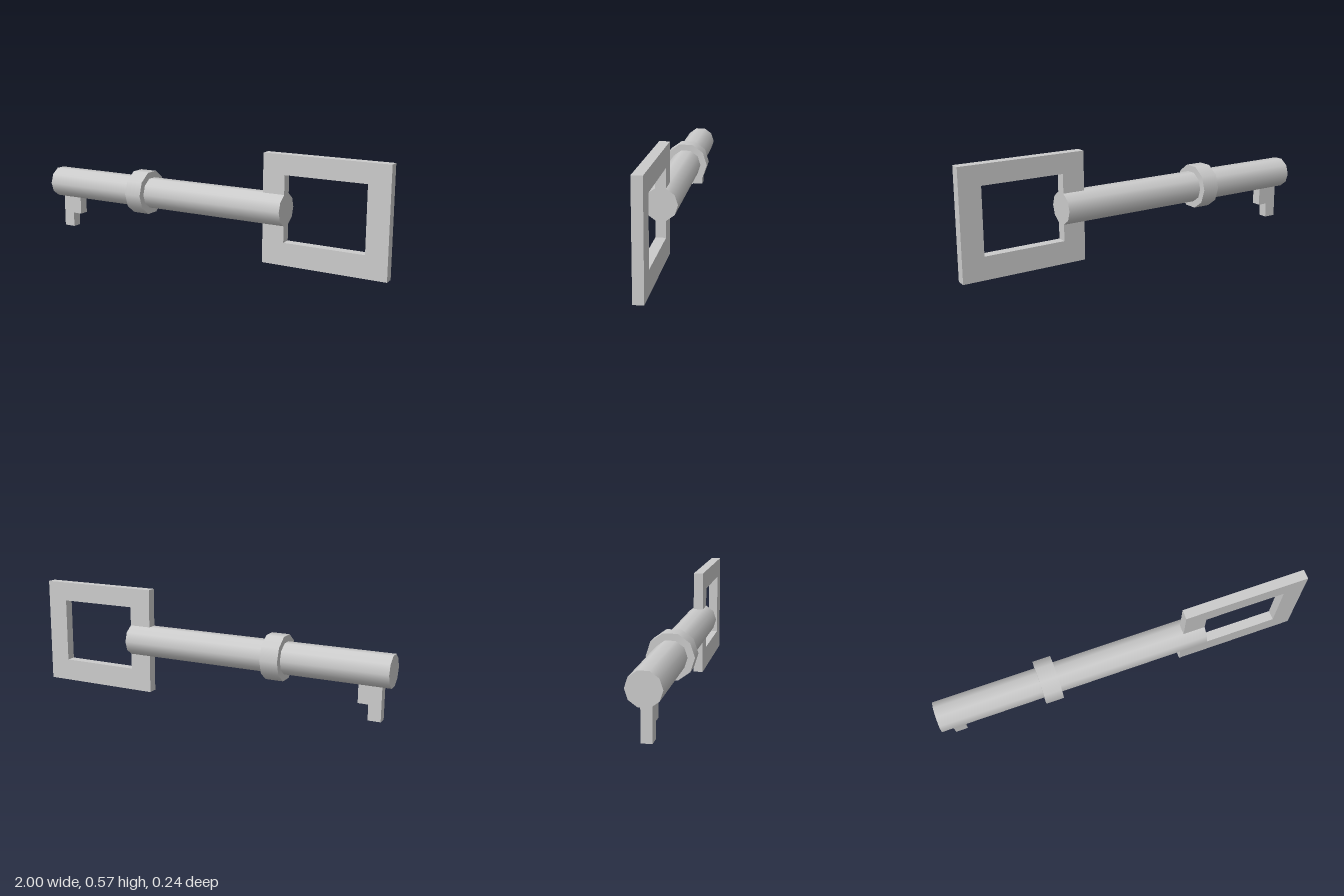
import * as THREE from 'three';

const AXIS_Y = 0.284;
const THICKNESS = 0.052;

export function createModel() {
  const key = new THREE.Group();
  key.name = 'key';
  const material = new THREE.MeshStandardMaterial({ color: 0xcccccc });

  const add = (name, geometry) => {
    const mesh = new THREE.Mesh(geometry, material);
    mesh.name = name;
    key.add(mesh);
  };

  // Ten-sided rod lying along x
  const rod = (radius, x0, x1) =>
    new THREE.CylinderGeometry(radius, radius, x1 - x0, 10)
      .rotateZ(Math.PI / 2)
      .translate((x0 + x1) / 2, AXIS_Y, 0);

  // Flat plate centred on z = 0
  const plate = (shape) =>
    new THREE.ExtrudeGeometry(shape, { depth: THICKNESS, bevelEnabled: false })
      .translate(0, 0, -THICKNESS / 2);

  const points = (list) => list.map(([x, y]) => new THREE.Vector2(x, y));
  const rect = (x0, y0, x1, y1) => points([[x0, y0], [x1, y0], [x1, y1], [x0, y1]]);

  add('shaft', rod(0.084, -1, 0.455));
  add('collar', rod(0.12, -0.45, -0.355));

  // Rectangular handle frame
  const frame = new THREE.Shape(rect(0.337, 0, 1, 0.567));
  frame.holes.push(new THREE.Path(rect(0.455, 0.119, 0.886, 0.464)));
  add('handle', plate(frame));

  // Stepped tooth under the tip, sunk slightly into the shaft
  add('tooth', plate(new THREE.Shape(points([
    [-0.955, 0.03], [-0.89, 0.03], [-0.89, 0.11],
    [-0.837, 0.11], [-0.837, 0.22], [-0.955, 0.22],
  ]))));

  return key;
}
